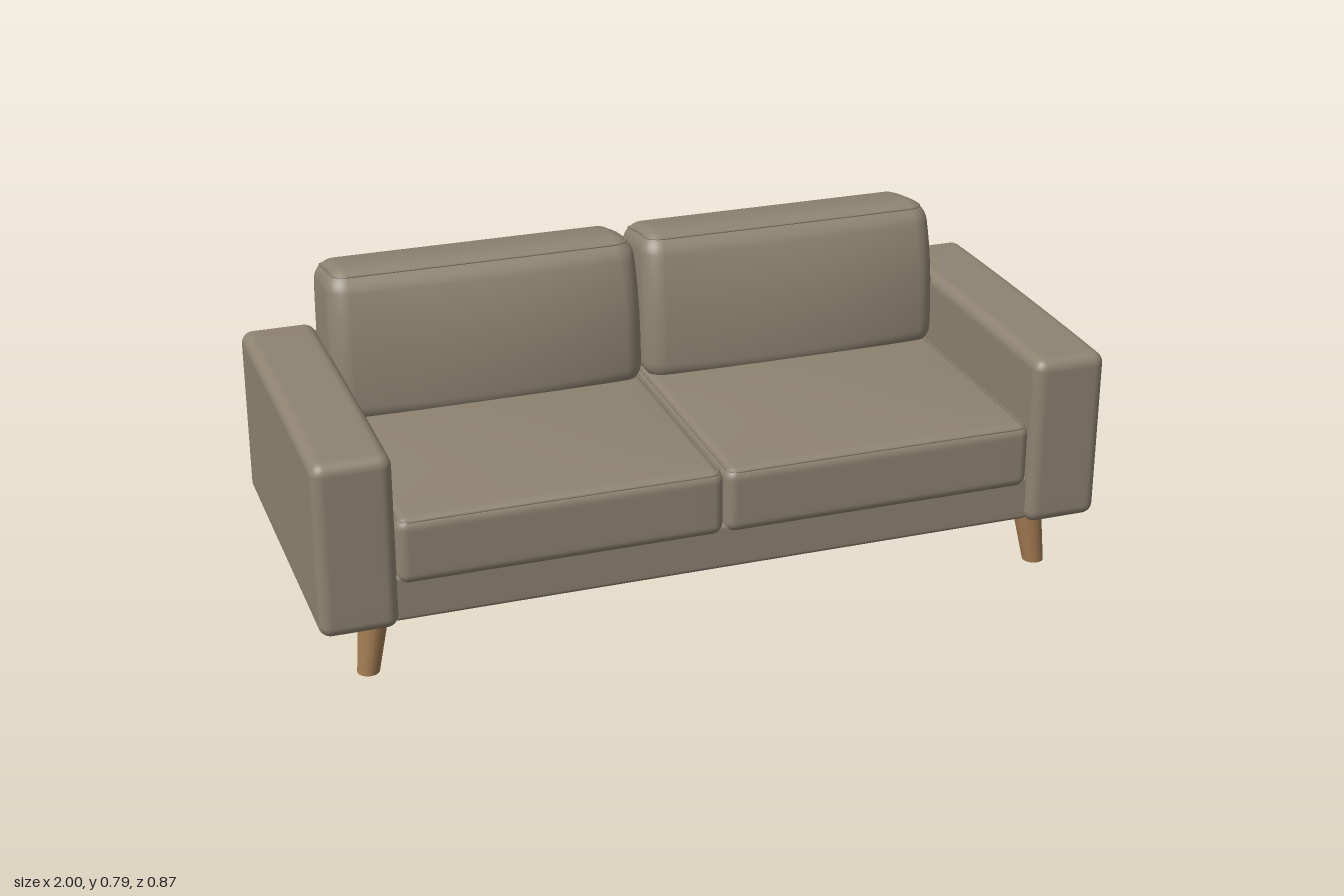
import * as THREE from 'three';
import { mergeVertices } from 'three/addons/utils/BufferGeometryUtils.js';

const fabric = new THREE.MeshStandardMaterial({ color: 0x8e8371 });
fabric.name = 'taupe fabric';
const wood = new THREE.MeshStandardMaterial({ color: 0xa27b52 });
wood.name = 'warm wood';

const SEG = 18, CORE = 0.55; // grid steps per side, share of them on the flat middle

// Rounded box with an even grid, so that a rule can bend or puff it
function softBox(w, h, d, r, rule) {
  const half = [w / 2, h / 2, d / 2];
  const geo = new THREE.BoxGeometry(2, 2, 2, SEG, SEG, SEG);
  geo.deleteAttribute('uv');
  geo.deleteAttribute('normal');
  const pos = geo.attributes.position;
  const p = new THREE.Vector3();
  for (let i = 0; i < pos.count; i++) {
    const core = [], off = [];
    [pos.getX(i), pos.getY(i), pos.getZ(i)].forEach((u, k) => {
      const a = Math.abs(u), s = Math.sign(u);
      core.push(s * (half[k] - r) * Math.min(a / CORE, 1));
      off.push(s * Math.tan(Math.max(0, (a - CORE) / (1 - CORE)) * Math.PI / 4));
    });
    p.fromArray(off).normalize().multiplyScalar(r).add(new THREE.Vector3().fromArray(core));
    if (rule) rule(p);
    pos.setXYZ(i, p.x, p.y, p.z);
  }
  const merged = mergeVertices(geo, 1e-5);
  merged.computeVertexNormals();
  return merged;
}

// Thin piping that follows the rounded upper edge of a softBox
function piping(w, h, d, r, rule) {
  const q = r * Math.SQRT1_2;
  const y = h / 2 - r + q;
  const pts = [];
  for (const [sx, sz, start] of [[1, 1, 0], [-1, 1, 1], [-1, -1, 2], [1, -1, 3]]) {
    for (let i = 0; i <= 4; i++) {
      const a = (start + i / 4) * Math.PI / 2;
      pts.push(new THREE.Vector3(sx * (w / 2 - r) + q * Math.cos(a), y, sz * (d / 2 - r) + q * Math.sin(a)));
    }
    // points along the straight run to the next corner
    const last = pts[pts.length - 1];
    const alongX = sx === sz;
    const run = alongX ? -sx * (w - 2 * r) : sx * (d - 2 * r);
    for (let i = 1; i < 8; i++) {
      const n = last.clone();
      if (alongX) n.x += run * i / 8;
      else n.z += (sx < 0 ? -1 : 1) * Math.abs(run) * i / 8;
      pts.push(n);
    }
  }
  pts.forEach(rule);
  return new THREE.TubeGeometry(new THREE.CatmullRomCurve3(pts, true), 140, 0.003, 6, true);
}

function add(parent, name, geo, mat, x = 0, y = 0, z = 0) {
  const mesh = new THREE.Mesh(geo, mat);
  mesh.name = name;
  mesh.position.set(x, y, z);
  parent.add(mesh);
  return mesh;
}

// Seat cushion: gently crowned top
const SEAT = [0.806, 0.17, 0.75, 0.028];
function crown(p) {
  const x = p.x / 0.403, z = p.z / 0.375;
  if (p.y > 0) p.y += 0.022 * (1 - x * x) * (1 - z * z) * (p.y / 0.085);
}

// Back cushion: leaning, puffed at the lower front, narrower at the top
const BACK = [0.815, 0.39, 0.25, 0.052];
function lean(p) {
  const t = p.y / 0.39 + 0.5;
  const x = p.x / 0.4075;
  const back = 0.5 - p.z / 0.25;
  const front = -0.167 - 0.05 * t ** 3 + 0.036 * (1 - x * x) * (1 - t * t);
  const rear = -0.385 - 0.05 * t;
  p.z = front + (rear - front) * back;
  p.y -= 0.035 * t * back * back;
  p.x *= 1 - 0.025 * t ** 3;
}

// Tapered leg that splays outwards towards the floor
function legGeometry(sx, sz) {
  const geo = new THREE.CylinderGeometry(0.038, 0.027, 0.16, 28, 4);
  const pos = geo.attributes.position;
  for (let i = 0; i < pos.count; i++) {
    const drop = 0.5 - pos.getY(i) / 0.16;
    pos.setX(i, pos.getX(i) + sx * 0.023 * drop);
    pos.setZ(i, pos.getZ(i) + sz * 0.011 * drop);
  }
  geo.computeVertexNormals();
  return geo;
}

export function createModel() {
  const sofa = new THREE.Group();
  sofa.name = 'sofa';

  // Frame
  add(sofa, 'base', softBox(1.64, 0.12, 0.83, 0.012), fabric, 0, 0.211, -0.006);
  add(sofa, 'backPanel', softBox(1.64, 0.425, 0.13, 0.025), fabric, 0, 0.364, -0.366);

  for (const side of [1, -1]) {
    const half = new THREE.Group();
    half.name = side > 0 ? 'leftHalf' : 'rightHalf';
    sofa.add(half);

    add(half, 'arm', softBox(0.19, 0.445, 0.868, 0.03, (p) => {
      // slightly padded top
      if (p.y > 0) p.y += 0.005 * (p.y / 0.2225) * (1 - (p.z / 0.434) ** 2);
    }), fabric, side * 0.905, 0.3675, 0);

    const seat = add(half, 'seatCushion', softBox(...SEAT, crown), fabric, side * 0.405, 0.334, 0.05);
    add(seat, 'seatPiping', piping(...SEAT, crown), fabric);

    const back = add(half, 'backCushion', softBox(...BACK, lean), fabric, side * 0.41, 0.597, 0);
    add(back, 'backPiping', piping(...BACK, lean), fabric);

    // Legs
    add(half, 'frontLeg', legGeometry(side, 1), wood, side * 0.853, 0.08, 0.337);
    add(half, 'rearLeg', legGeometry(side, -1), wood, side * 0.853, 0.08, -0.333);
  }
  return sofa;
}
